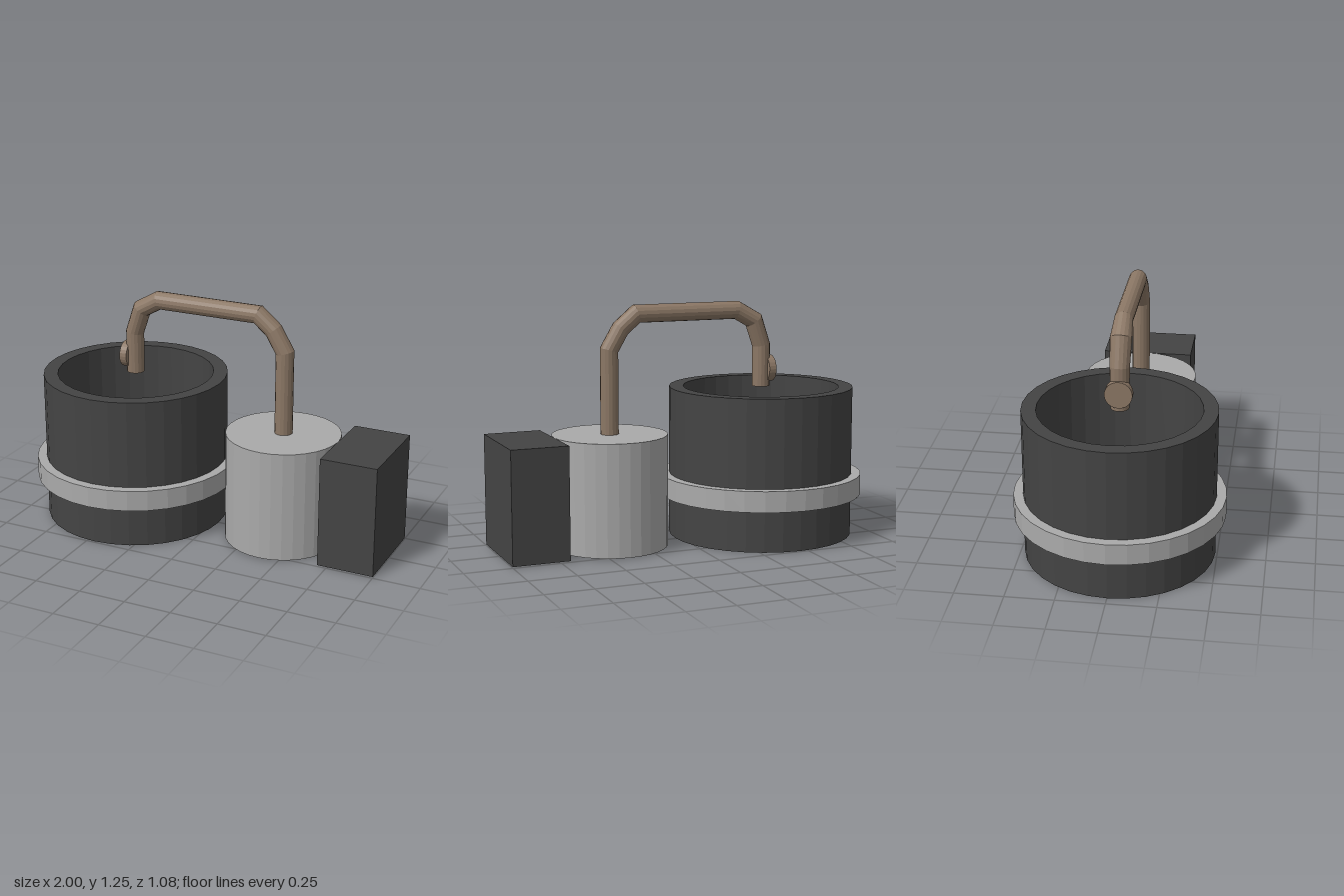
import * as THREE from 'three';

const mat = (color, extra = {}) => new THREE.MeshStandardMaterial({ color, flatShading: true, ...extra });
const dark = mat(0x444444);
const grey = mat(0xaaaaaa);
const brown = mat(0x8b7765);

function part(name, geometry, material, x = 0, y = 0, z = 0) {
  const mesh = new THREE.Mesh(geometry, material);
  mesh.name = name;
  mesh.position.set(x, y, z);
  return mesh;
}

const lathe = (profile, sides) =>
  new THREE.LatheGeometry(profile.map(([r, y]) => new THREE.Vector2(r, y)), sides);

// Sweeps mitred rings along a path in the xy plane; each stop is [x, y, radius].
function bentPipe(stops, sides) {
  const pts = stops.map(([x, y]) => new THREE.Vector2(x, y));
  const pos = [], index = [];
  const last = pts.length - 1;
  pts.forEach((p, i) => {
    const before = pts[i].clone().sub(pts[Math.max(i - 1, 0)]).normalize();
    const after = pts[Math.min(i + 1, last)].clone().sub(p).normalize();
    const dir = before.clone().add(after).normalize();
    const stretch = 1 / dir.dot(i < last ? after : before);
    const r = stops[i][2];
    for (let j = 0; j < sides; j++) {
      const a = (j / sides) * Math.PI * 2;
      const c = Math.cos(a) * 0.047 * stretch;
      pos.push(p.x - dir.y * c, p.y + dir.x * c, Math.sin(a) * r);
    }
  });
  for (let i = 0; i < last; i++) {
    for (let j = 0; j < sides; j++) {
      const k = (j + 1) % sides;
      const a = i * sides + j, b = i * sides + k;
      index.push(a, b, a + sides, b, b + sides, a + sides);
    }
  }
  // End caps
  for (let j = 1; j < sides - 1; j++) {
    const e = last * sides;
    index.push(0, j + 1, j, e, e + j, e + j + 1);
  }
  const g = new THREE.BufferGeometry();
  g.setAttribute('position', new THREE.Float32BufferAttribute(pos, 3));
  g.setIndex(index);
  g.computeVertexNormals();
  return g;
}

export function createModel() {
  const model = new THREE.Group();
  model.name = 'potAndPump';
  const potX = -0.46, tankX = 0.4;

  // Open pot with a thick wall and floor
  model.add(part('pot', lathe(
    [[0, 0], [0.49, 0], [0.49, 0.795], [0.415, 0.795], [0.415, 0.07], [0, 0.07]], 32), dark, potX));

  // Band around the pot
  model.add(part('potBand', lathe(
    [[0.485, 0.22], [0.54, 0.22], [0.54, 0.33], [0.485, 0.33], [0.485, 0.22]], 32), grey, potX));

  // Tank and the box beside it
  model.add(part('tank', new THREE.CylinderGeometry(0.3, 0.3, 0.585, 32), grey, tankX, 0.2975));
  model.add(part('sideBox', new THREE.BoxGeometry(0.3, 0.585, 0.49), dark, 0.85, 0.2975));

  // Pipe arching from the tank to the pot
  const r = 0.047;
  model.add(part('pipe', bentPipe([
    [tankX, 0.58, r], [tankX, 1.025, r], [0.337, 1.132, r], [0.25, 1.205, r],
    [-0.315, 1.205, r], [-0.415, 1.148, 0.055], [potX, 1.015, 0.05], [potX, 0.795, r],
  ], 16), brown));

  // Round knob on the outer side of the spout
  const knob = part('spoutKnob', new THREE.CylinderGeometry(0.07, 0.07, 0.04, 24), brown, -0.5, 0.888);
  knob.rotation.z = Math.PI / 2;
  model.add(knob);

  return model;
}
